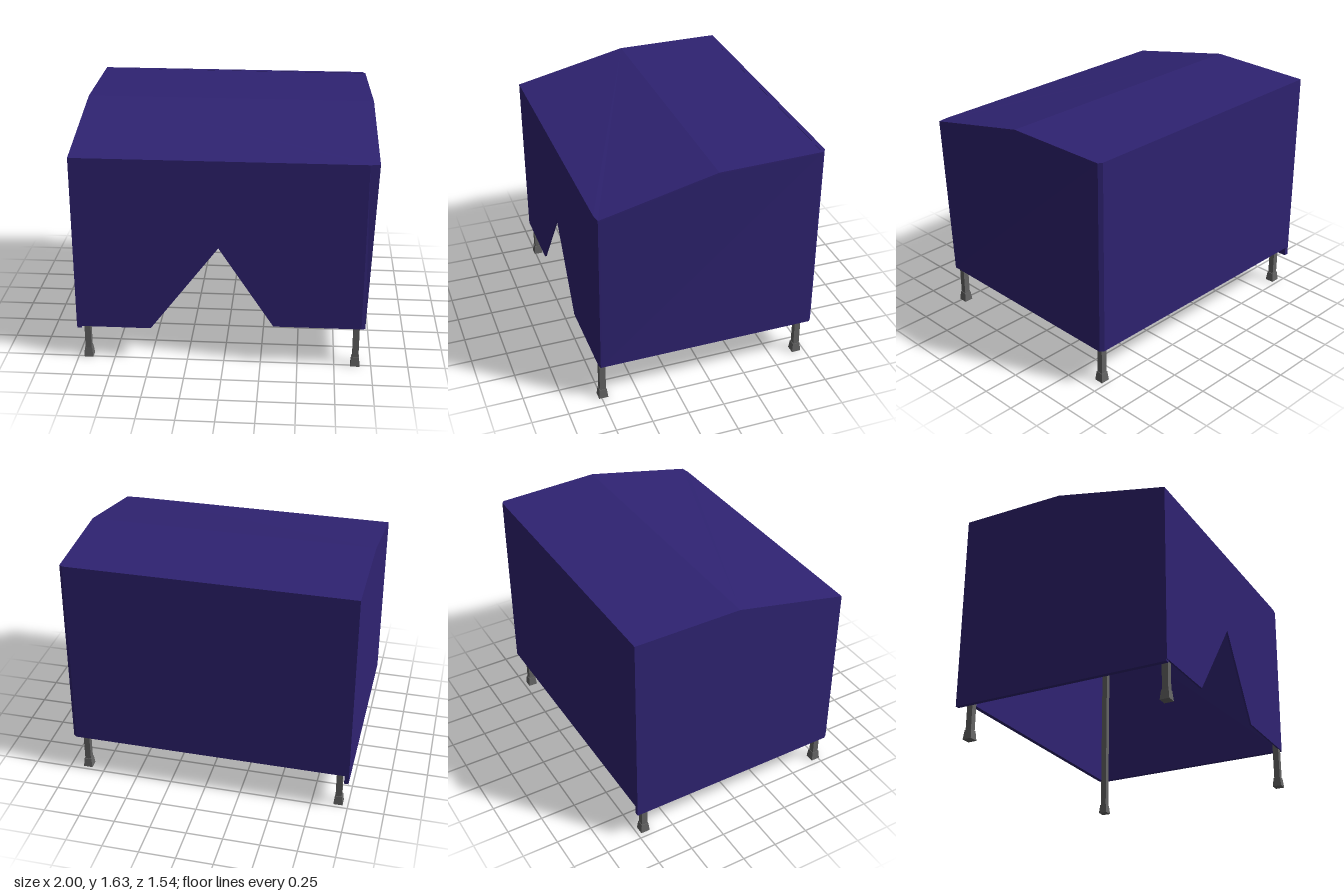
import * as THREE from 'three';

const cover = new THREE.MeshStandardMaterial({ color: 0x2f2372 });
cover.name = 'purple canvas';
const metal = new THREE.MeshStandardMaterial({ color: 0x646464 });
metal.name = 'grey metal';

// Slab between an outer outline and the same outline shifted inwards
function panel(name, points, inward) {
  const outer = points.map((p) => new THREE.Vector3(...p));
  const shift = new THREE.Vector3(...inward);
  const sizes = inward.map(Math.abs);
  const drop = sizes.indexOf(Math.max(...sizes));
  const flat = points.map((p) => new THREE.Vector2(...p.filter((_, i) => i !== drop)));
  const positions = [];
  const normal = new THREE.Vector3();
  const triangle = new THREE.Triangle();
  const add = (a, b, c) => [a, b, c].forEach((v) => positions.push(v.x, v.y, v.z));

  // Outline direction, so the rim faces outwards
  const area = new THREE.Vector3();
  outer.forEach((p, i) => area.add(p.clone().cross(outer[(i + 1) % outer.length])));
  if (area.dot(shift) > 0) {
    outer.reverse();
    flat.reverse();
  }
  const inner = outer.map((p) => p.clone().add(shift));

  // Outer and inner faces
  for (const [a, b, c] of THREE.ShapeUtils.triangulateShape(flat, [])) {
    triangle.set(outer[a], outer[b], outer[c]).getNormal(normal);
    const [i, j, k] = normal.dot(shift) > 0 ? [a, c, b] : [a, b, c];
    add(outer[i], outer[j], outer[k]);
    add(inner[i], inner[k], inner[j]);
  }
  // Rim
  outer.forEach((p, i) => {
    const n = (i + 1) % outer.length;
    add(p, inner[i], inner[n]);
    add(p, inner[n], outer[n]);
  });

  const geometry = new THREE.BufferGeometry();
  geometry.setAttribute('position', new THREE.Float32BufferAttribute(positions, 3));
  geometry.computeVertexNormals();
  const mesh = new THREE.Mesh(geometry, cover);
  mesh.name = name;
  return mesh;
}

// Square post with a flared foot
function leg(name, x, z, height) {
  const group = new THREE.Group();
  group.name = name;
  const post = new THREE.Mesh(new THREE.BoxGeometry(0.042, height - 0.05, 0.042), metal);
  post.name = 'post';
  post.position.y = (height + 0.05) / 2;
  const footShape = new THREE.CylinderGeometry(0.025 * Math.SQRT2, 0.032 * Math.SQRT2, 0.065, 4, 1);
  footShape.rotateY(Math.PI / 4);
  const foot = new THREE.Mesh(footShape.toNonIndexed(), metal);
  foot.geometry.computeVertexNormals();
  foot.name = 'foot';
  foot.position.y = 0.0325;
  group.add(post, foot);
  group.position.set(x, 0, z);
  return group;
}

export function createModel() {
  const model = new THREE.Group();
  model.name = 'shelter';
  const front = 0.765, back = -0.77, ridge = -0.03, eave = 1.455, top = 1.63;

  // Roof: sloped front half and level back half
  model.add(panel('slopedRoof', [
    [-1, eave, front], [0.93, eave, front], [0.995, eave, 0.755],
    [0.98, top, ridge], [-1, top, ridge],
  ], [0, -0.01, 0]));
  model.add(panel('levelRoof', [
    [-1, top, ridge], [0.98, top, ridge], [0.95, top - 0.003, -0.75],
    [0.925, top, back], [-1, top, back],
  ], [0, -0.01, 0]));

  // Front wall with the triangular opening
  model.add(panel('frontWall', [
    [-1, eave, front], [-1, 0.24, front], [-0.495, 0.24, front], [-0.033, 0.85, front],
    [0.335, 0.285, front], [0.925, 0.285, front], [0.93, eave, front],
  ], [0, 0, -0.012]));
  model.add(panel('frontCorner', [
    [0.93, eave, front], [0.925, 0.285, front], [0.95, 0.285, 0.757], [0.995, eave, 0.755],
  ], [0, 0, -0.012]));

  // Back wall
  model.add(panel('backWall', [
    [-1, top, back], [0.925, top, back], [0.925, 0.288, back], [-1, 0.288, back],
  ], [0, 0, 0.03]));
  model.add(panel('backCorner', [
    [0.925, top, back], [0.95, top - 0.003, -0.75], [0.95, 0.286, -0.75], [0.925, 0.288, back],
  ], [0, 0, 0.03]));

  // End walls
  model.add(panel('leftWall', [
    [0.995, eave, 0.755], [0.98, top, ridge], [0.95, top - 0.003, -0.75],
    [0.95, 0.285, -0.75], [0.95, 0.285, 0.757],
  ], [-0.03, 0, 0]));
  model.add(panel('rightWall', [
    [-1, eave, front], [-1, top, ridge], [-1, top, back], [-1, 0.225, back], [-1, 0.225, front - 0.005],
  ], [0.03, 0, 0]));

  // Legs
  model.add(leg('frontLeftLeg', 0.893, 0.737, 1.43));
  model.add(leg('backLeftLeg', 0.875, -0.692, 1.6));
  model.add(leg('frontRightLeg', -0.932, 0.727, 1.43));
  model.add(leg('backRightLeg', -0.932, -0.692, 1.6));
  return model;
}
